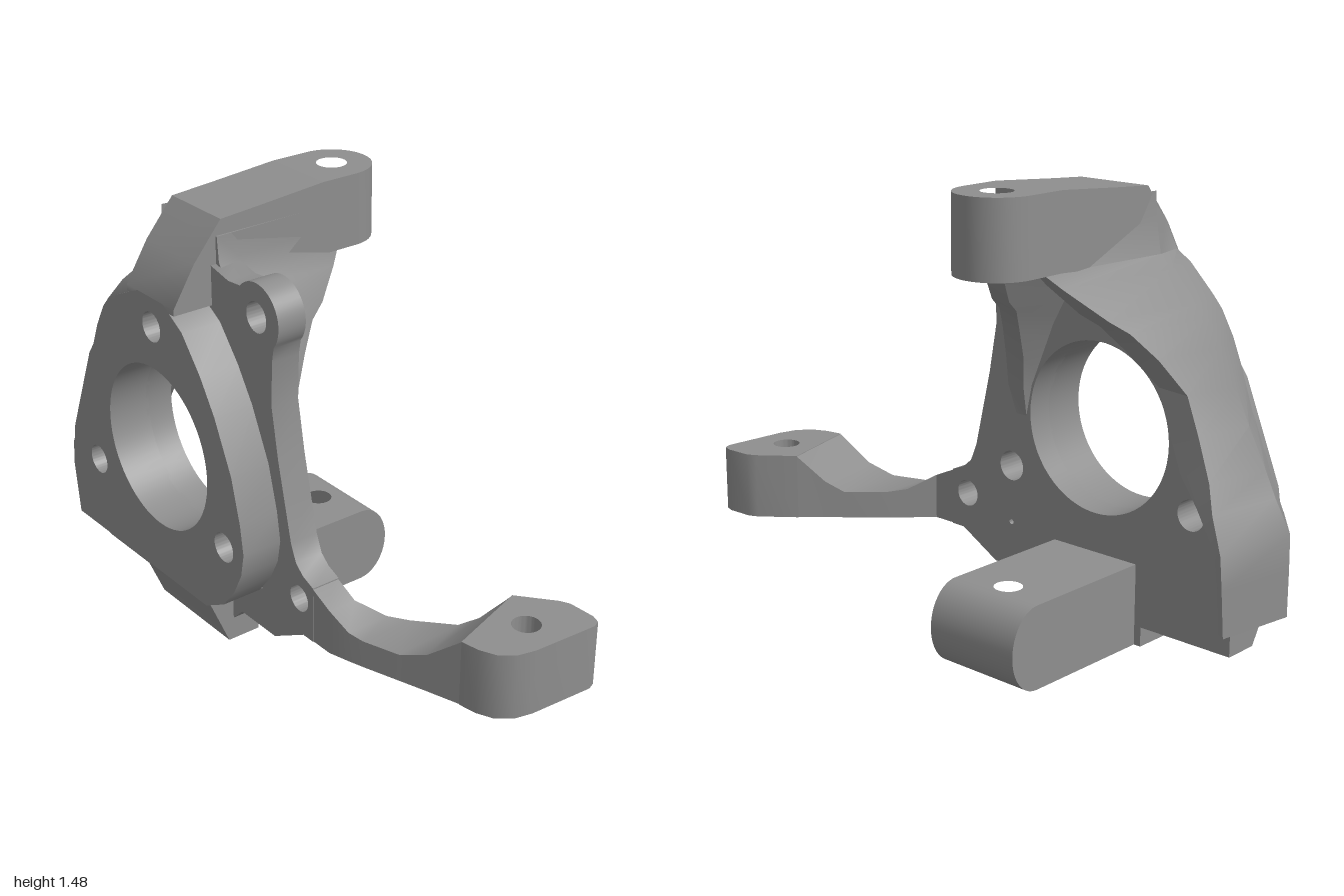
import * as THREE from 'three';
import { toCreasedNormals } from 'three/addons/utils/BufferGeometryUtils.js';

const material = new THREE.MeshStandardMaterial({ color: 0x8e8e8e });

function part(parent, name, geometry) {
  const mesh = new THREE.Mesh(toCreasedNormals(geometry, 0.65), material);
  mesh.name = name;
  parent.add(mesh);
}

// Shape from points, with round holes given as [u, v, radius]; flip mirrors one axis.
function outline(points, holes = [], flipU = 1, flipV = 1) {
  const shape = new THREE.Shape(points.map(([u, v]) => new THREE.Vector2(u * flipU, v * flipV)));
  for (const [u, v, r] of holes) {
    const hole = new THREE.Path();
    hole.absarc(u * flipU, v * flipV, r, 0, Math.PI * 2, true);
    shape.holes.push(hole);
  }
  return shape;
}

const extrude = (shape, from, to) => new THREE.ExtrudeGeometry(shape,
  { depth: to - from, bevelEnabled: false, curveSegments: 32 }).translate(0, 0, from);

// Side outline (z, y) swept along x; plan outline (x, z) swept along y; front outline (x, y) swept along z.
const alongX = (pts, holes, a, b) => extrude(outline(pts, holes, -1, 1), a, b).rotateY(Math.PI / 2);
const alongY = (pts, holes, a, b) => extrude(outline(pts, holes, 1, -1), a, b).rotateX(-Math.PI / 2);
const alongZ = (pts, a, b) => extrude(outline(pts), a, b);

const arc = (u, v, r, a0, a1, n = 16) => Array.from({ length: n + 1 }, (_, i) => {
  const a = a0 + (a1 - a0) * i / n;
  return [u + r * Math.cos(a), v + r * Math.sin(a)];
});

// Solid through matching cross-sections, each a list of [x, y, z].
function loft(sections) {
  const n = sections[0].length, last = sections.length - 1, index = [];
  for (let s = 0; s < last; s++) {
    for (let i = 0; i < n; i++) {
      const a = s * n + i, b = s * n + (i + 1) % n;
      index.push(a, b, b + n, a, b + n, a + n);
    }
  }
  for (let i = 1; i < n - 1; i++) {
    index.push(0, i + 1, i, last * n, last * n + i, last * n + i + 1);
  }
  // turn the faces outward if the enclosed volume is negative
  const p = sections.flat().map(c => new THREE.Vector3(...c));
  let volume = 0;
  for (let i = 0; i < index.length; i += 3) {
    volume += p[index[i]].dot(p[index[i + 1]].clone().cross(p[index[i + 2]]));
  }
  if (volume < 0) index.reverse();
  const g = new THREE.BufferGeometry().setFromPoints(p);
  g.setIndex(index);
  return g;
}

export function createModel() {
  const model = new THREE.Group();
  model.name = 'steeringKnuckle';

  const hubHoles = [[-0.33, 0.68, 0.28], [-0.33, 1.1, 0.05], [0.03, 0.48, 0.05], [-0.7, 0.48, 0.05]];

  // Thick outer hub body with bearing bore and bolt holes
  part(model, 'hubPlate', alongX([
    [-0.4, 1.2], [-0.26, 1.2], [-0.16, 1.14], [-0.07, 1.03], [0, 0.92], [0.08, 0.75], [0.12, 0.6],
    [0.135, 0.5], [0.12, 0.42], [0.08, 0.34], [0.02, 0.265], [-0.08, 0.21], [-0.85, 0.21],
    [-0.875, 0.4], [-0.85, 0.55], [-0.72, 0.87], [-0.53, 1.14],
  ], hubHoles, -0.42, -0.27));

  // Inner flange with sensor ear
  part(model, 'innerFlange', alongX([
    [-0.46, 1.22], [-0.2, 1.31], [-0.11, 1.29], [-0.05, 1.295],
    ...arc(0.03, 1.22, 0.11, Math.PI * 0.75, -Math.PI * 0.22, 20),
    [0.105, 1.1], [0.1, 0.95], [0.13, 0.78], [0.16, 0.65], [0.19, 0.52], [0.215, 0.46], [0.25, 0.43],
    [0.3, 0.41], [0.3, 0.215], [0.25, 0.215], [0.1, 0.13], [-0.08, 0.13], [-0.13, 0.08],
    [-0.5, 0.08], [-0.85, 0.2], [-0.87, 0.4], [-0.84, 0.55], [-0.72, 0.85], [-0.56, 1.1],
  ], [...hubHoles, [0.03, 1.22, 0.05], [0.23, 0.34, 0.045], [0.03, 0.285, 0.009]], -0.28, -0.18));

  // Upper ball-joint arm: sloped root and rounded lug
  part(model, 'upperArm', alongZ([
    [-0.42, 1.18], [-0.42, 1.2], [-0.34, 1.33], [-0.24, 1.45], [-0.1, 1.46], [0.15, 1.48],
    [0.15, 1.24], [-0.16, 1.22], [-0.2, 1.18],
  ], -0.46, -0.2));
  part(model, 'upperLug', alongY([
    [0.15, -0.46], ...arc(0.285, -0.33, 0.13, -Math.PI / 2, Math.PI / 2, 24), [0.15, -0.2],
  ], [[0.285, -0.33, 0.05]], 1.24, 1.48));

  // Front web: [y, edge x, outer z at base, outer z at edge, inner z]
  part(model, 'frontWeb', loft([
    [1.4, 0.21, -0.203, -0.203, -0.28],
    [1.32, 0.21, -0.195, -0.203, -0.28],
    [1.24, 0.21, -0.15, -0.205, -0.28],
    [1.2, 0.18, -0.12, -0.185, -0.26],
    [1.11, 0.1, -0.06, -0.14, -0.21],
    [1.07, 0.045, -0.04, -0.12, -0.19],
    [0.99, -0.02, 0, -0.075, -0.145],
    [0.88, -0.09, 0.035, -0.025, -0.1],
    [0.77, -0.14, 0.045, 0.01, -0.055],
    [0.65, -0.185, 0.03, 0.01, -0.03],
  ].map(([y, x, base, edge, inner]) => [
    [-0.26, y, base + 0.01], [-0.18, y, base], [x, y, edge], [x, y, inner], [-0.26, y, inner],
  ])));

  // Rear web flaring into the wing: [y, base x, edge x, outer z, chamfer, inner z at edge, inner z at base]
  part(model, 'rearWing', loft([
    [1.43, -0.25, 0.21, -0.461, 0.002, -0.39, -0.39],
    [1.34, -0.33, 0.21, -0.466, 0.006, -0.39, -0.39],
    [1.24, -0.385, 0.21, -0.485, 0.02, -0.39, -0.39],
    [1.2, -0.41, 0.18, -0.53, 0.03, -0.41, -0.41],
    [1.11, -0.415, 0.1, -0.635, 0.05, -0.47, -0.46],
    [1.07, -0.415, 0.045, -0.67, 0.05, -0.5, -0.49],
    [0.99, -0.415, -0.02, -0.725, 0.06, -0.55, -0.54],
    [0.88, -0.415, -0.09, -0.78, 0.07, -0.62, -0.6],
    [0.77, -0.415, -0.075, -0.835, 0.085, -0.67, -0.65],
    [0.65, -0.415, -0.045, -0.9, 0.1, -0.74, -0.67],
    [0.57, -0.415, -0.01, -0.94, 0.11, -0.83, -0.78],
    [0.47, -0.415, 0.025, -0.998, 0.12, -0.92, -0.82],
    [0.36, -0.415, 0.015, -1, 0.12, -0.93, -0.81],
    [0.21, -0.4, 0, -1, 0.12, -0.93, -0.85],
  ].map(([y, xb, xe, outer, bevel, edge, base]) => [
    [xb, y, outer + bevel], [-0.28 + bevel * 0.1, y, outer], [xe, y, outer + 0.04], [xe - 0.02, y, edge],
    [-0.17, y, base], [xb, y, base],
  ])));

  // Lower skirt under the hub
  part(model, 'lowerSkirt', alongZ([
    [-0.41, 0.23], [-0.385, 0.2], [-0.3, 0], [-0.18, 0], [-0.18, 0.3], [-0.3, 0.32],
  ], -0.52, -0.13));
  part(model, 'rearSkirt', alongZ([
    [-0.385, 0.21], [-0.3, 0.065], [-0.18, 0.065], [-0.18, 0.22],
  ], -0.86, -0.5));

  // Lower ball-joint lug with rounded nose
  part(model, 'lowerLug', alongY([
    [-0.2, -0.495], [0.285, -0.495], [0.285, -0.16], [-0.2, -0.16],
  ], [[0.23, -0.33, 0.045]], 0, 0.27));
  part(model, 'lowerLugNose', alongZ(
    arc(0, 0.135, 0.135, -Math.PI / 2, Math.PI / 2, 24).map(([x, y]) => [0.285 + x * 0.8, y]),
    -0.495, -0.16));

  // Steering arm: [left x, left z, right x, right z, top y]
  part(model, 'steeringArm', loft([
    [-0.279, 0.28, -0.181, 0.28, 0.415],
    [-0.279, 0.38, -0.181, 0.38, 0.37],
    [-0.26, 0.45, -0.11, 0.45, 0.32],
    [-0.245, 0.5, -0.06, 0.5, 0.31],
    [-0.205, 0.62, 0.04, 0.61, 0.31],
    [-0.175, 0.71, 0.08, 0.66, 0.345],
    [-0.14, 0.82, 0.145, 0.73, 0.435],
  ].map(([xl, zl, xr, zr, top]) => [
    [xl, 0.217, zl], [xr, 0.217, zr], [xr, top, zr], [xl, top, zl],
  ])));
  part(model, 'steeringArmPad', alongY([
    [-0.14, 0.82], [-0.13, 0.88], [-0.105, 0.935], [-0.06, 0.97], [0, 0.985], [0.22, 1], [0.245, 0.99],
    [0.255, 0.96], [0.25, 0.87], [0.235, 0.84], [0.145, 0.73],
  ], [[0.07, 0.87, 0.045]], 0.215, 0.437));

  return model;
}
